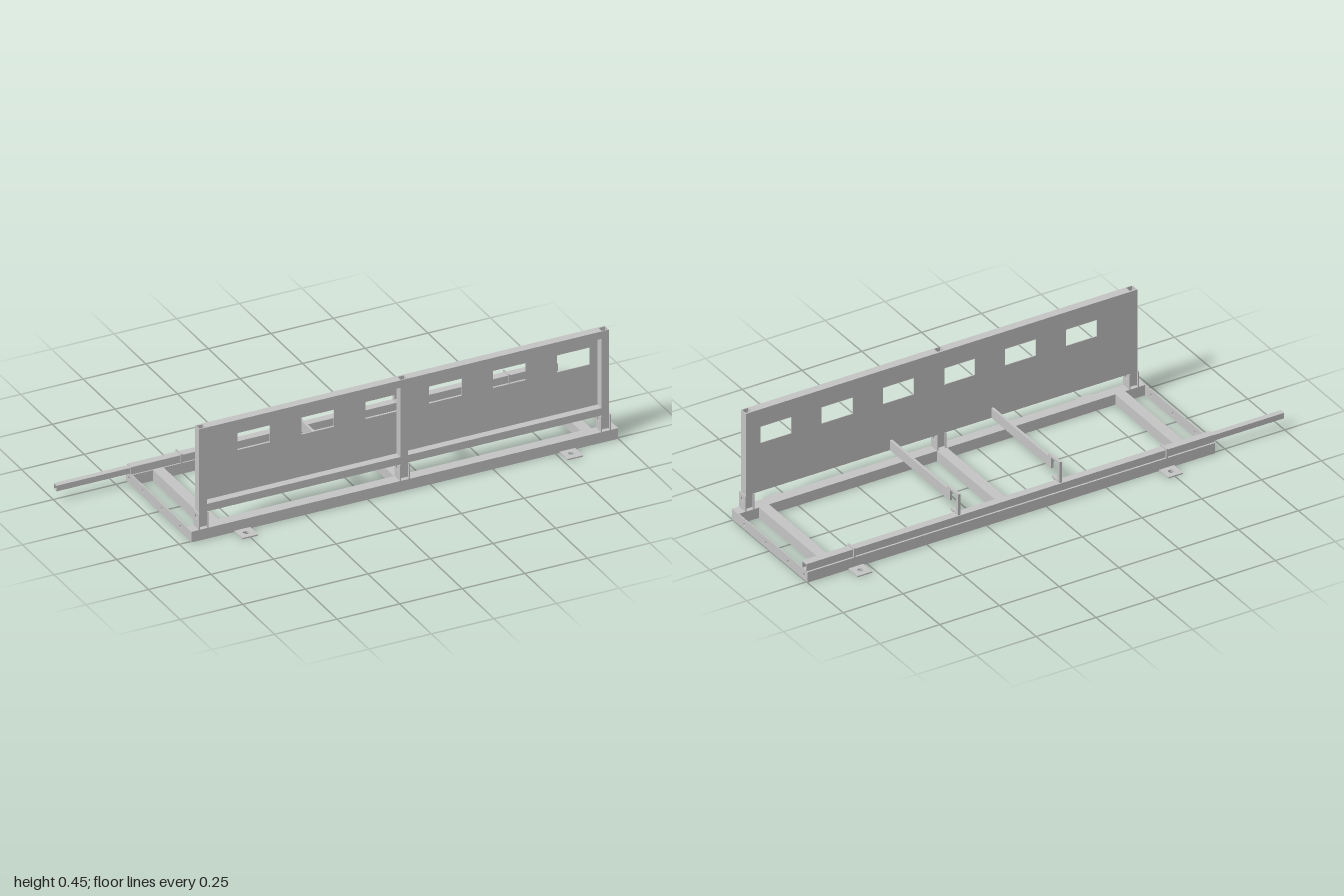
import * as THREE from 'three';

const steel = new THREE.MeshStandardMaterial({ color: 0xc6c6c6 });
steel.name = 'light steel grey';

// Rectangle outline or hole from corner values
function rect(Type, u0, u1, v0, v1) {
  const p = new Type();
  p.moveTo(u0, v0); p.lineTo(u1, v0); p.lineTo(u1, v1); p.lineTo(u0, v1); p.closePath();
  return p;
}
function circle(u, v, r) {
  return new THREE.Path().absarc(u, v, r, 0, Math.PI * 2, true);
}
function extrude(shape, depth) {
  return new THREE.ExtrudeGeometry(shape, { depth, bevelEnabled: false, curveSegments: 12 });
}

export function createModel() {
  const model = new THREE.Group();
  const add = (name, geo) => {
    const m = new THREE.Mesh(geo, steel);
    m.name = name;
    model.add(m);
  };
  const box = (name, x0, x1, y0, y1, z0, z1) =>
    add(name, new THREE.BoxGeometry(x1 - x0, y1 - y0, z1 - z0)
      .translate((x0 + x1) / 2, (y0 + y1) / 2, (z0 + z1) / 2));
  // Profile drawn in (-z, y), extruded along x
  const alongX = (name, shape, x0, x1) =>
    add(name, extrude(shape, x1 - x0).rotateY(Math.PI / 2).translate(x0, 0, 0));
  // Profile drawn in (x, -z), extruded along y
  const alongY = (name, shape, y0, y1) =>
    add(name, extrude(shape, y1 - y0).rotateX(-Math.PI / 2).translate(0, y0, 0));
  const hollow = (u0, u1, v0, v1, t) => {
    const s = rect(THREE.Shape, u0, u1, v0, v1);
    s.holes.push(rect(THREE.Path, u0 + t, u1 - t, v0 + t, v1 - t));
    return s;
  };

  // Base frame: hollow long rails, cross beams and drilled end plates
  alongX('frontRail', hollow(-0.257, -0.214, 0, 0.043, 0.003), -0.701, 0.996);
  alongX('backRail', hollow(0.214, 0.257, 0, 0.043, 0.003), -0.701, 0.996);
  for (const x of [-0.598, 0.147, 0.892]) box('crossBeam', x - 0.021, x + 0.021, 0, 0.043, -0.214, 0.214);
  for (const x of [-0.705, 0.996]) {
    const s = rect(THREE.Shape, -0.257, 0.257, 0, 0.043);
    for (const z of [0.171, 0.022, -0.128, -0.235]) s.holes.push(circle(-z, 0.021, 0.0065));
    alongX('endPlate', s, x, x + 0.004);
  }

  // Anchor feet with bolt holes
  for (const x of [-0.502, 0.797]) {
    for (const side of [1, -1]) {
      const s = side > 0
        ? rect(THREE.Shape, x - 0.031, x + 0.031, -0.319, -0.25)
        : rect(THREE.Shape, x - 0.031, x + 0.031, 0.25, 0.319);
      s.holes.push(circle(x, -side * 0.288, 0.011));
      alongY('anchorFoot', s, 0, 0.005);
    }
  }

  // Sleeve tube on the back rail with a sliding rod and two clips
  alongX('sleeveTube', hollow(0.219, 0.25, 0.042, 0.073, 0.003), -0.705, 1);
  alongX('slidingRod', hollow(0.223, 0.246, 0.046, 0.069, 0.003), -1, 0.98);
  for (const x of [-0.505, 0.803]) {
    const s = rect(THREE.Shape, 0.213, 0.257, 0.043, 0.08);
    s.holes.push(rect(THREE.Path, 0.219, 0.25, 0.0435, 0.074));
    alongX('tubeClip', s, x - 0.003, x + 0.003);
  }

  // Upright frame: hollow posts with rails between them
  const posts = [-0.656, 0.148, 0.951];
  for (const x of posts) {
    alongY('post', hollow(x - 0.0155, x + 0.0155, -0.251, -0.2205, 0.003), 0.05, 0.448);
    // Pair of pivot plates around the foot of each post
    for (const dx of [-0.0195, 0.0155]) {
      const s = rect(THREE.Shape, -0.257, -0.214, 0.043, 0.107);
      s.holes.push(circle(-0.235, 0.085, 0.009));
      alongX('pivotPlate', s, x + dx, x + dx + 0.004);
    }
  }
  for (let i = 0; i < 2; i++) {
    const x0 = posts[i] + 0.0155, x1 = posts[i + 1] - 0.0155;
    box('topRail', x0, x1, 0.418, 0.448, 0.2205, 0.251);
    box('bottomRail', x0, x1, 0.107, 0.137, 0.2205, 0.251);
  }

  // Thin sheet behind the frame with six windows
  const sheet = rect(THREE.Shape, -0.6715, 0.9665, 0.107, 0.448);
  for (let i = 0; i < 6; i++) {
    const x = -0.503 + i * 0.2555;
    sheet.holes.push(rect(THREE.Path, x, x + 0.13, 0.307, 0.376));
  }
  add('sheetPanel', extrude(sheet, 0.0035).translate(0, 0, 0.217));

  // Lever arms ending in a hook that reaches down to the sleeve tube
  const hook = [[0.17, 0.148], [0.191, 0.148], [0.191, 0.151], [0.233, 0.151], [0.233, 0.08],
    [0.195, 0.08], [0.195, 0.07], [0.213, 0.07], [0.213, 0.074], [0.247, 0.074], [0.247, 0.16], [0.17, 0.16]];
  for (const x of [-0.065, 0.359]) {
    box('leverArm', x - 0.005, x + 0.005, 0.107, 0.148, -0.191, 0.217);
    alongX('leverHook', new THREE.Shape(hook.map(([u, v]) => new THREE.Vector2(u, v))), x - 0.005, x + 0.005);
  }
  return model;
}
